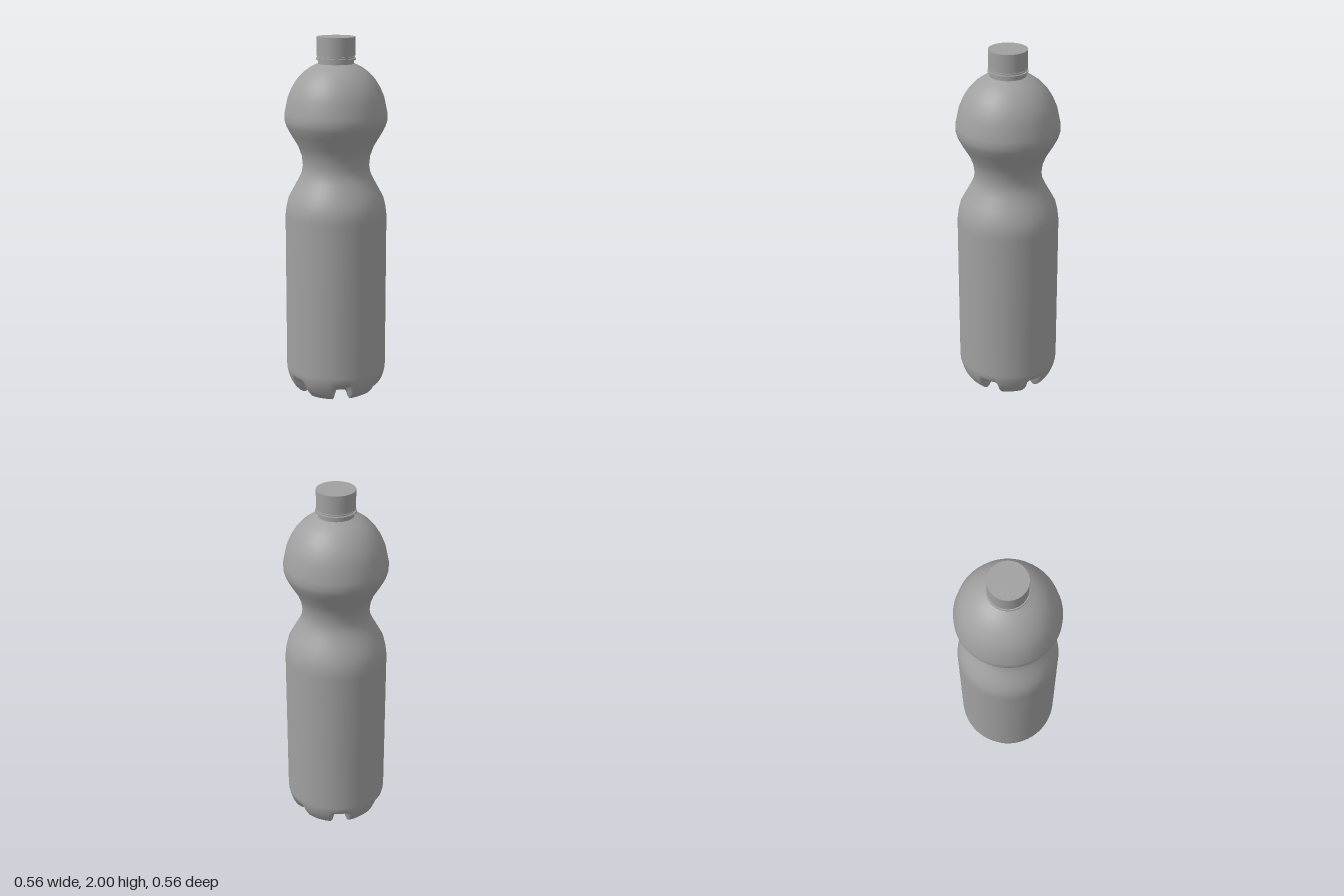
import * as THREE from 'three';
import { mergeVertices } from 'three/addons/utils/BufferGeometryUtils.js';

const material = new THREE.MeshStandardMaterial({ color: 0xa0a0a0 });
const toPoints = (pairs) => pairs.map(([r, y]) => new THREE.Vector2(r, y));

// Base profiles, centre to wall: through a foot, and through a groove between feet
const foot = [[0, 0.05], [0.06, 0.049], [0.12, 0.046], [0.148, 0.04], [0.168, 0.016], [0.183, 0.002], [0.198, 0],
  [0.222, 0.014], [0.243, 0.036], [0.26, 0.065], [0.271, 0.095], [0.278, 0.125]];
const groove = [[0, 0.05], [0.06, 0.05], [0.12, 0.05], [0.148, 0.05], [0.168, 0.051], [0.183, 0.053], [0.198, 0.058],
  [0.212, 0.066], [0.228, 0.08], [0.246, 0.094], [0.269, 0.104], [0.278, 0.125]];

// Wall from the base up to the neck
const wall = [[0.28, 0.15], [0.28, 0.6], [0.28, 1.02], [0.274, 1.07], [0.262, 1.12], [0.235, 1.17], [0.205, 1.225],
  [0.189, 1.26], [0.182, 1.3], [0.188, 1.355], [0.208, 1.41], [0.25, 1.48], [0.271, 1.52], [0.28, 1.55], [0.28, 1.59],
  [0.262, 1.675], [0.24, 1.727], [0.212, 1.772], [0.178, 1.809], [0.14, 1.837], [0.098, 1.857]];

const FEET = 6;
const GROOVE_START = THREE.MathUtils.degToRad(22);

function bottleBody() {
  const segments = 180;
  const profile = [...foot, ...wall];
  const geometry = new THREE.LatheGeometry(toPoints(profile), segments, GROOVE_START);
  const pos = geometry.attributes.position;
  const step = (Math.PI * 2) / FEET;
  for (let i = 0; i <= segments; i++) {
    const turn = (i / segments) * Math.PI * 2;
    const offset = Math.abs(turn - Math.round(turn / step) * step);
    foot.forEach(([footR, footY], j) => {
      // Grooves widen slightly towards the wall
      const distance = footR * Math.sin(offset);
      const halfWidth = 0.02 + 0.18 * Math.max(0, footR - 0.17);
      const w = 1 - THREE.MathUtils.smoothstep(distance, halfWidth, halfWidth + 0.022);
      const r = THREE.MathUtils.lerp(footR, groove[j][0], w);
      const y = THREE.MathUtils.lerp(footY, groove[j][1], w);
      const a = GROOVE_START + turn;
      pos.setXYZ(i * profile.length + j, r * Math.sin(a), y, r * Math.cos(a));
    });
  }
  geometry.deleteAttribute('uv');
  geometry.deleteAttribute('normal');
  const welded = mergeVertices(geometry, 1e-5);
  welded.computeVertexNormals();
  return welded;
}

export function createModel() {
  const group = new THREE.Group();
  // Round part between two heights
  const addDisc = (name, radius, bottom, top) => {
    const mesh = new THREE.Mesh(new THREE.CylinderGeometry(radius, radius, top - bottom, 64), material);
    mesh.name = name;
    mesh.position.y = (bottom + top) / 2;
    group.add(mesh);
  };

  const body = new THREE.Mesh(bottleBody(), material);
  body.name = 'bottleBody';
  group.add(body);

  addDisc('neck', 0.096, 1.84, 1.95);
  addDisc('neckRing', 0.108, 1.878, 1.886);
  addDisc('sealBand', 0.102, 1.89, 1.896);
  addDisc('cap', 0.104, 1.9, 2);
  return group;
}
